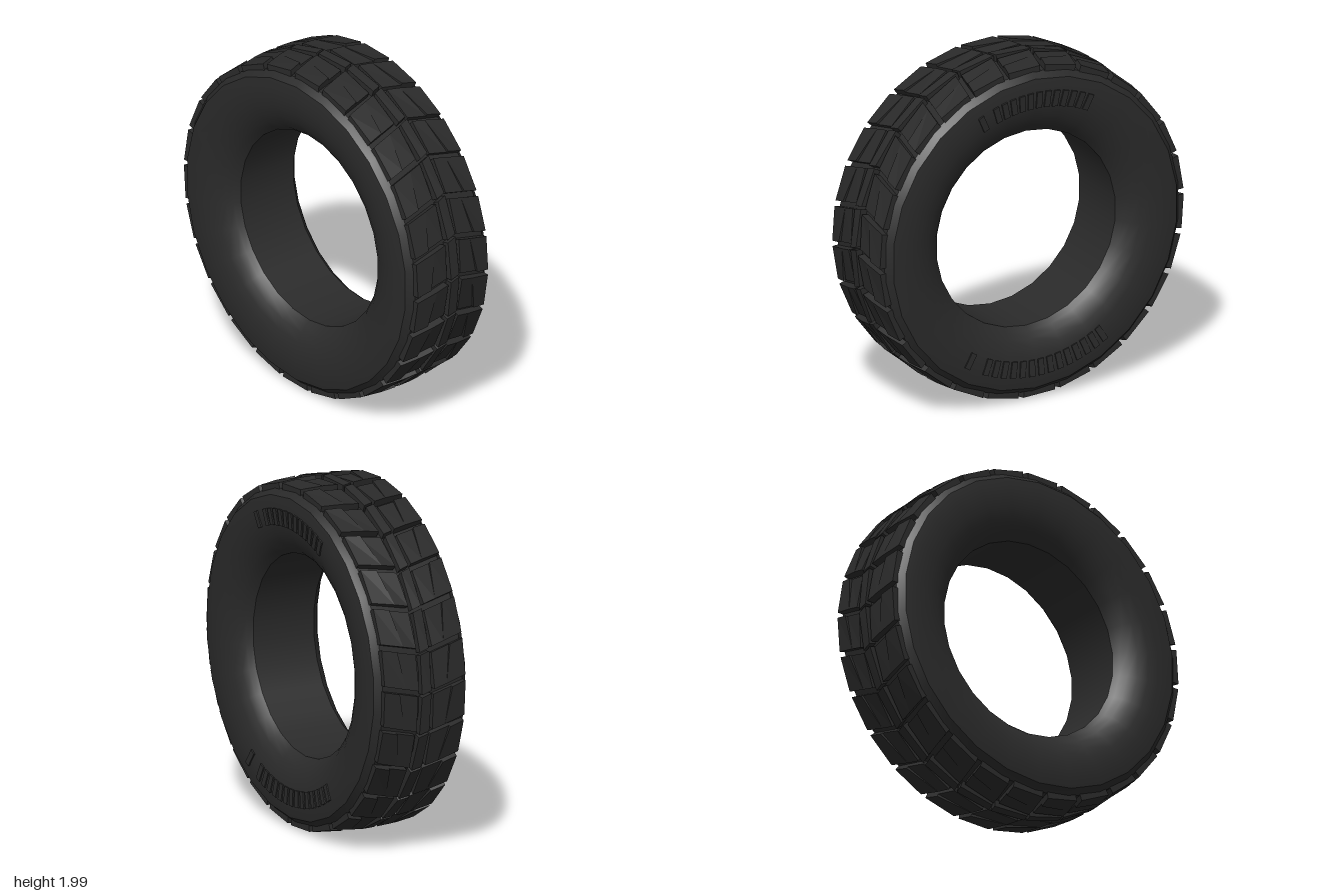
import * as THREE from 'three';
import { mergeGeometries } from 'three/addons/utils/BufferGeometryUtils.js';

const PITCHES = 26;
const STEP = (Math.PI * 2) / PITCHES;
const ROOT = 0.93; // radius where tread blocks sink into the carcass

// Point on the wheel from axial position, angle and radius
const polar = (z, a, r) => [r * Math.cos(a), r * Math.sin(a), z];

// Flat-sided tread block; corners are [z, angle, radius], anticlockwise seen from outside
function blockGeometry(corners) {
  const top = corners.map(([z, a, r]) => polar(z, a, r));
  const low = corners.map(([z, a]) => polar(z, a, ROOT));
  const pos = [];
  const quad = (a, b, c, d) => pos.push(...a, ...b, ...c, ...a, ...c, ...d);
  quad(...top);
  for (let i = 0; i < 4; i++) {
    const j = (i + 1) % 4;
    quad(low[i], low[j], top[j], top[i]);
  }
  const g = new THREE.BufferGeometry();
  g.setAttribute('position', new THREE.Float32BufferAttribute(pos, 3));
  g.computeVertexNormals();
  return g;
}

export function createModel() {
  const group = new THREE.Group();
  const rubber = new THREE.MeshStandardMaterial({ color: 0x2a2a2a });
  rubber.name = 'black rubber';

  const add = (name, geometry) => {
    const mesh = new THREE.Mesh(geometry, rubber);
    mesh.name = name;
    mesh.position.y = 1;
    group.add(mesh);
  };

  // Carcass: separate lathed bands keep the creases between them sharp
  const band = (name, points) => {
    const pts = points.map(([r, z]) => new THREE.Vector2(r, z));
    add(name, new THREE.LatheGeometry(pts, PITCHES).rotateX(Math.PI / 2));
  };
  const wall = [[0.92, 0.295], [0.87, 0.303], [0.81, 0.304], [0.75, 0.297],
    [0.69, 0.28], [0.64, 0.253], [0.605, 0.225], [0.58, 0.195]];
  const shoulder = [[0.955, 0.255], [0.94, 0.27], [0.92, 0.295]];
  const flip = (points) => points.map(([r, z]) => [r, -z]).reverse();
  band('treadBase', [[0.955, -0.255], [0.965, 0], [0.955, 0.255]]);
  band('frontShoulder', shoulder);
  band('backShoulder', flip(shoulder));
  band('frontSidewall', wall);
  band('backSidewall', flip(wall));
  band('bore', [[0.58, 0.195], [0.58, -0.195]]);

  // Tread: chevron blocks either side of a narrow centre rib
  const shift = (z) => 0.015 - 0.25 * Math.abs(z);
  const inner = [], outer = [], rib = [];
  for (let i = 0; i < PITCHES; i++) {
    const a0 = i * STEP + 0.017, a1 = (i + 1) * STEP - 0.017;
    for (const s of [1, -1]) {
      const corner = (z, a, r) => [s * z, a + shift(z), r];
      const ordered = (c) => blockGeometry(s > 0 ? c : c.reverse());
      // Inner part slopes gently toward one groove
      inner.push(ordered([
        corner(0.05, a0, 0.985), corner(0.05, a1, 1),
        corner(0.13, a1, 0.997), corner(0.17, a0, 0.978),
      ]));
      // Outer part stands at full height up to the shoulder
      outer.push(ordered([
        corner(0.17, a0, 0.994), corner(0.13, a1, 0.997),
        corner(0.26, a1, 0.982), corner(0.26, a0, 0.982),
      ]));
    }
    const b0 = i * STEP + 0.008, b1 = (i + 1) * STEP - 0.008;
    rib.push(blockGeometry([
      [-0.03, b0 + 0.018, 1], [-0.03, b1 + 0.018, 1], [0.03, b1, 1], [0.03, b0, 1],
    ]));
  }
  add('innerTreadBlocks', mergeGeometries(inner));
  add('outerTreadBlocks', mergeGeometries(outer));
  add('centreRib', mergeGeometries(rib));

  // Raised bars on the back sidewall: one lone bar, then a row, in two arcs
  const bars = [];
  const bar = (degrees, flipY) => {
    const g = new THREE.BoxGeometry(0.036, 0.095, 0.03);
    g.rotateX(-0.07);
    g.translate(0, 0.797, -0.295);
    g.rotateZ(THREE.MathUtils.degToRad(flipY ? 180 + degrees : -degrees));
    bars.push(g);
  };
  for (const [flipY, lone, first, last, count] of [
    [false, 25, 18, -25, 12],
    [true, 32, 23, -32, 14],
  ]) {
    bar(lone, flipY);
    for (let i = 0; i < count; i++) bar(first + ((last - first) * i) / (count - 1), flipY);
  }
  add('sidewallBars', mergeGeometries(bars));

  return group;
}
